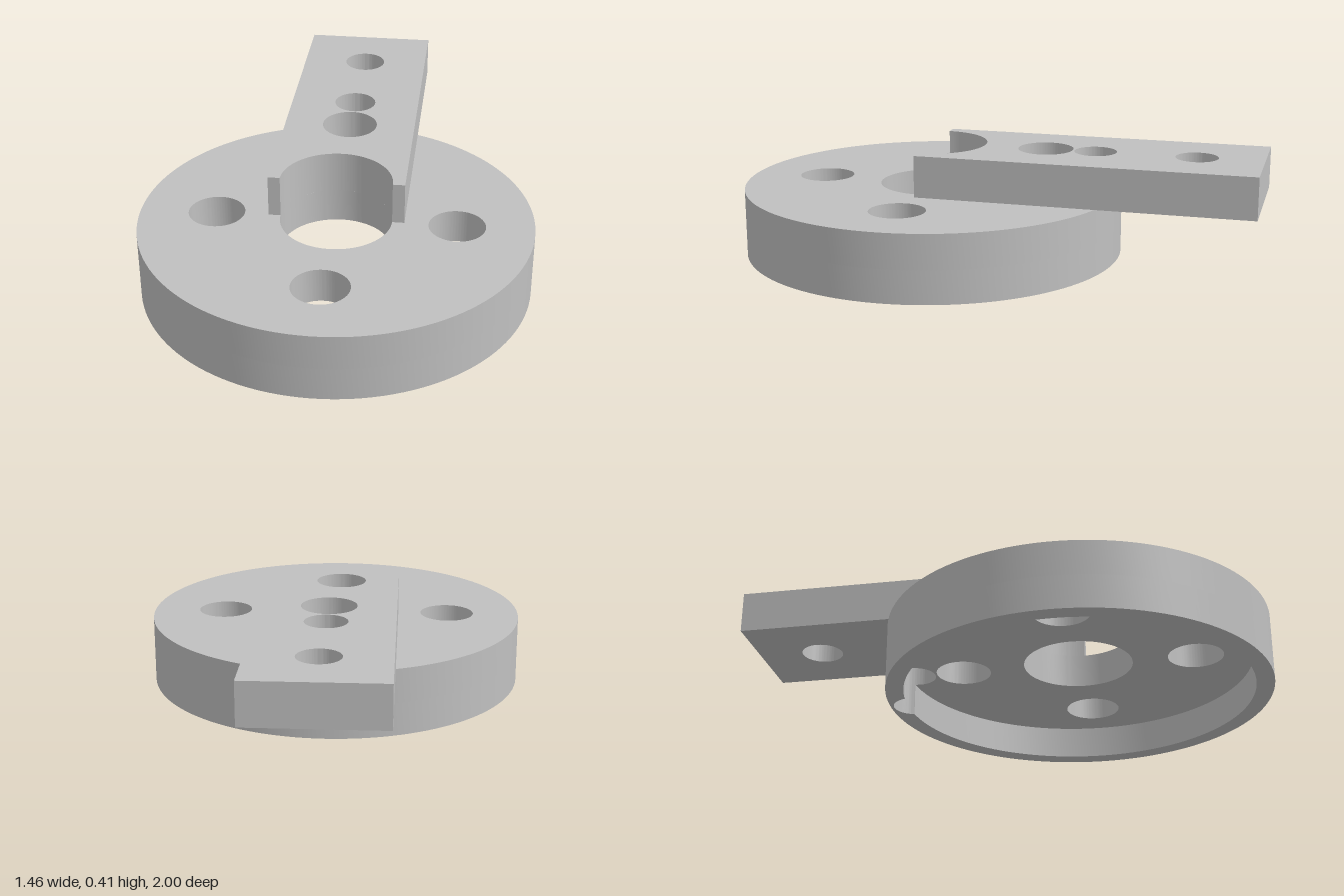
import * as THREE from 'three';
import { toCreasedNormals } from 'three/addons/utils/BufferGeometryUtils.js';

// Shapes are drawn in plan: shape x = x, shape y = -z
const HUB = -0.27, RADIUS = 0.73, RECESS = 0.662;
const BORE = 0.207, BOLT = 0.105, PIN = 0.08;
const BOLT_CIRCLE = 0.446, PIN_INNER = 0.368, PIN_OUTER = 0.75;
const RIM_TOP = 0.125, DISC_TOP = 0.256, ARM_TOP = 0.415;

const circle = (path, x, y, r) => path.absarc(x, y, r, 0, Math.PI * 2, false);

function addHole(shape, x, y, r) {
  shape.holes.push(circle(new THREE.Path(), x, y, r));
}

// Extrudes a plan shape upwards between two heights
function slab(name, shape, bottom, top, material) {
  const geometry = new THREE.ExtrudeGeometry(shape, { depth: top - bottom, bevelEnabled: false, curveSegments: 64 });
  geometry.rotateX(-Math.PI / 2).translate(0, bottom, 0);
  const mesh = new THREE.Mesh(toCreasedNormals(geometry, 0.5), material);
  mesh.name = name;
  return mesh;
}

export function createModel() {
  const group = new THREE.Group();
  group.name = 'discWithArm';
  const metal = new THREE.MeshStandardMaterial({ color: 0xc0c0c0 });
  metal.name = 'plain grey';

  // Rim: ring round the underside recess, bitten by the inner pin hole
  const rim = circle(new THREE.Shape(), 0, HUB, RADIUS);
  const d = PIN_INNER - HUB;
  const a = Math.acos((RECESS ** 2 + d ** 2 - PIN ** 2) / (2 * RECESS * d));
  const b = Math.atan2(RECESS * Math.cos(a) - d, RECESS * Math.sin(a));
  const recess = new THREE.Path();
  recess.absarc(0, HUB, RECESS, Math.PI / 2 + a, Math.PI * 2.5 - a, false);
  recess.absarc(0, PIN_INNER, PIN, b, Math.PI - b, false);
  rim.holes.push(recess);
  group.add(slab('rim', rim, 0, RIM_TOP, metal));

  // Disc: face plate with the bore, four bolt holes and the pin hole
  const disc = circle(new THREE.Shape(), 0, HUB, RADIUS);
  addHole(disc, 0, HUB, BORE);
  for (const [x, y] of [[1, 0], [-1, 0], [0, 1], [0, -1]]) {
    addHole(disc, x * BOLT_CIRCLE, HUB + y * BOLT_CIRCLE, BOLT);
  }
  addHole(disc, 0, PIN_INNER, PIN);
  group.add(slab('disc', disc, RIM_TOP, DISC_TOP, metal));

  // Arm: flat bar with a half-round notch over the bore
  const arm = new THREE.Shape();
  arm.moveTo(0.252, HUB);
  arm.lineTo(0.252, 1);
  arm.lineTo(-0.252, 1);
  arm.lineTo(-0.252, HUB);
  arm.lineTo(-BORE, HUB);
  arm.absarc(0, HUB, BORE, Math.PI, 0, true);
  arm.closePath();
  addHole(arm, 0, HUB + BOLT_CIRCLE, BOLT);
  addHole(arm, 0, PIN_INNER, PIN);
  addHole(arm, 0, PIN_OUTER, PIN);
  group.add(slab('arm', arm, DISC_TOP, ARM_TOP, metal));

  return group;
}
